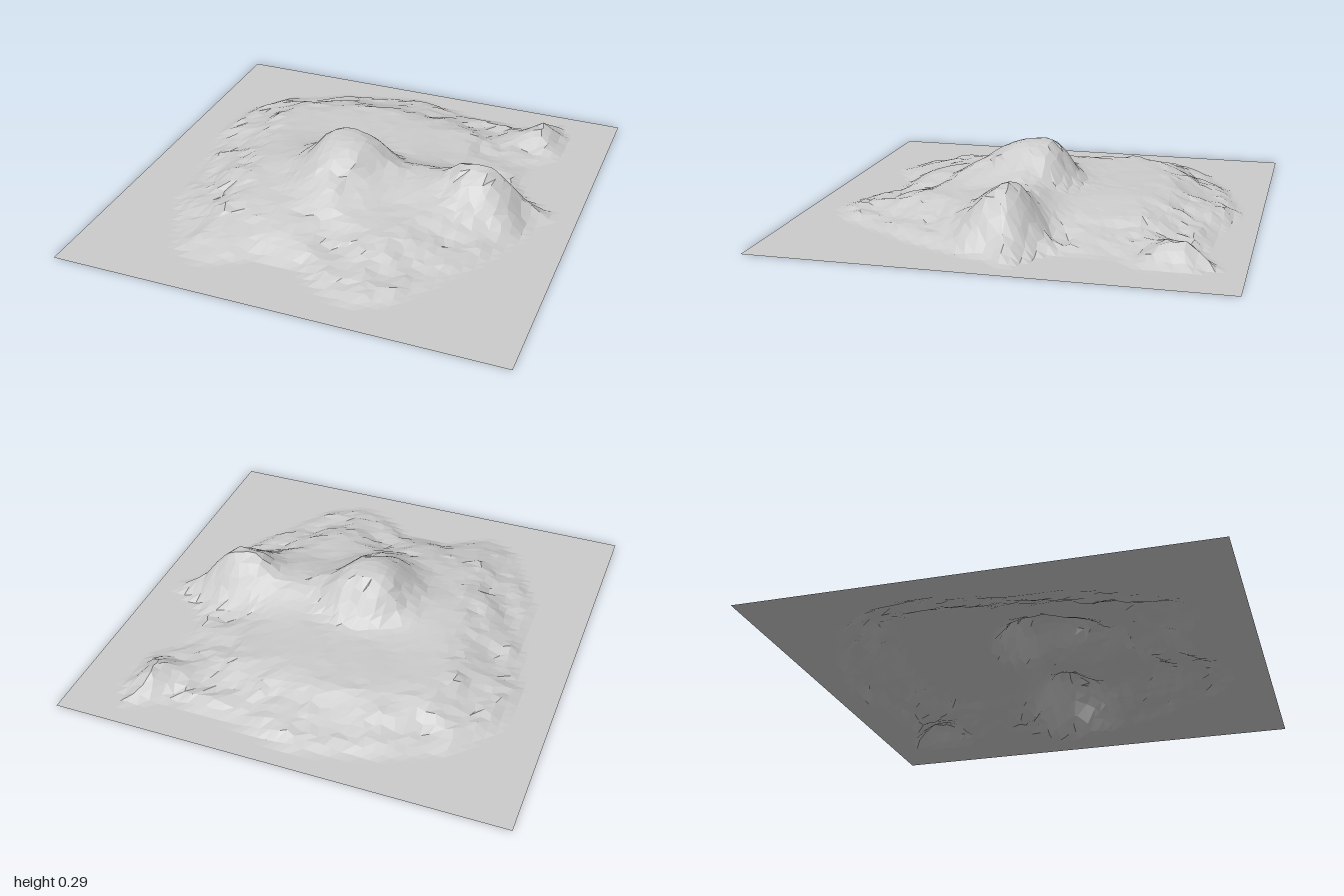
import * as THREE from 'three';

// Shoreline, as x/z pairs going round the island
const SHORE = [
  [0.91, -0.1], [0.91, -0.04], [0.83, 0.06], [0.8, 0.18], [0.72, 0.36], [0.58, 0.6], [0.45, 0.8], [0.27, 0.89],
  [0.1, 0.8], [0, 0.71], [-0.2, 0.72], [-0.4, 0.84], [-0.57, 0.74], [-0.66, 0.55], [-0.75, 0.35], [-0.77, 0.1],
  [-0.85, -0.25], [-0.81, -0.5], [-0.66, -0.7], [-0.4, -0.83], [-0.05, -0.92], [0.3, -0.84], [0.6, -0.83],
  [0.72, -0.92], [0.81, -0.8], [0.81, -0.56], [0.71, -0.47], [0.7, -0.27], [0.76, -0.17],
];

// Hills: centre, extra height, half-height widths towards -x, +x, -z, +z, and flatness of the top
const HILLS = [
  { x: -0.05, z: 0, h: 0.185, w: [0.16, 0.19, 0.12, 0.27], p: 3 },     // main peak
  { x: 0.59, z: 0, h: 0.155, w: [0.13, 0.15, 0.11, 0.14], p: 2.5 },    // eastern peak
  { x: 0.33, z: 0, h: 0.05, w: [0.13, 0.12, 0.12, 0.18], p: 2.5 },     // saddle between them
  { x: 0.69, z: -0.72, h: 0.065, w: [0.1, 0.08, 0.1, 0.11], p: 2.5 },  // north-east knoll
  { x: 0.4, z: -0.75, h: 0.015, w: [0.2, 0.15, 0.06, 0.05], p: 2.5 },  // northern rim
  { x: -0.3, z: 0.02, h: 0.025, w: [0.2, 0.1, 0.15, 0.2], p: 2.5 },    // western shoulder
  { x: -0.14, z: 0.59, h: 0.03, w: [0.18, 0.12, 0.12, 0.06], p: 3 },   // southern scarp
];

const smooth = THREE.MathUtils.smoothstep;

// Smooth repeatable value noise, from -1 to 1
function hash(i, j) {
  const s = Math.sin(i * 127.1 + j * 311.7) * 43758.5453;
  return (s - Math.floor(s)) * 2 - 1;
}
function noise(x, z) {
  const i = Math.floor(x), j = Math.floor(z);
  const u = smooth(x - i, 0, 1), v = smooth(z - j, 0, 1);
  const a = THREE.MathUtils.lerp(hash(i, j), hash(i + 1, j), u);
  const b = THREE.MathUtils.lerp(hash(i, j + 1), hash(i + 1, j + 1), u);
  return THREE.MathUtils.lerp(a, b, v);
}

// Distance inland from the shore, 0 at sea
function inland(x, z) {
  let inside = false, best = Infinity;
  SHORE.forEach(([ax, az], i) => {
    const [bx, bz] = SHORE[(i + 1) % SHORE.length];
    const dx = bx - ax, dz = bz - az;
    if ((az > z) !== (bz > z) && x < ax + dx * (z - az) / dz) inside = !inside;
    const t = THREE.MathUtils.clamp(((x - ax) * dx + (z - az) * dz) / (dx * dx + dz * dz), 0, 1);
    best = Math.min(best, Math.hypot(x - ax - dx * t, z - az - dz * t));
  });
  return inside ? best : 0;
}

function height(x, z) {
  const d = inland(x, z);
  if (d === 0) return 0;
  // Plateau, lower towards the north-east and south, with a rugged coastal band
  const lowland = smooth(x, 0.1, 0.6) * (1 - smooth(z, -0.3, 0));
  const plateau = 0.102 - 0.05 * lowland - 0.025 * smooth(z, 0.4, 0.65);
  const coast = 0.3 * smooth(d, 0, 0.08) + 0.7 * smooth(d, 0.07, 0.33);
  let y = plateau * coast;
  let rough = smooth(d, 0, 0.08) * (1 - 0.8 * smooth(d, 0.24, 0.38));
  for (const { x: cx, z: cz, h, w, p } of HILLS) {
    const u = Math.hypot((x - cx) / (x < cx ? w[0] : w[1]), (z - cz) / (z < cz ? w[2] : w[3]));
    const rise = Math.exp(-0.693 * u ** p);
    y += h * rise * smooth(d, 0, 0.12);
    // Hillsides are craggier than their tops
    rough += 16 * h * rise * (1 - rise);
  }
  y += Math.min(rough, 1) * (0.013 * noise(x * 9, z * 9) + 0.011 * noise(x * 21 + 5, z * 21));
  return Math.max(y, 0);
}

export function createModel() {
  const group = new THREE.Group();
  const material = new THREE.MeshStandardMaterial({
    color: 0xcccccc, flatShading: true, side: THREE.DoubleSide,
  });

  // One open sheet: flat sea around the raised island
  const n = 50;
  const geometry = new THREE.PlaneGeometry(2, 2, n, n).rotateX(-Math.PI / 2);
  const p = geometry.attributes.position;
  for (let i = 0; i < p.count; i++) {
    let x = p.getX(i), z = p.getZ(i);
    // Nudge island vertices sideways so the facets are irregular
    const k = 0.013 * smooth(inland(x, z), 0, 0.08);
    x += k * hash(i, 3);
    z += k * hash(i, 8);
    p.setXYZ(i, x, height(x, z), z);
  }
  geometry.computeVertexNormals();
  const terrain = new THREE.Mesh(geometry, material);
  terrain.name = 'islandTerrain';
  group.add(terrain);
  return group;
}
